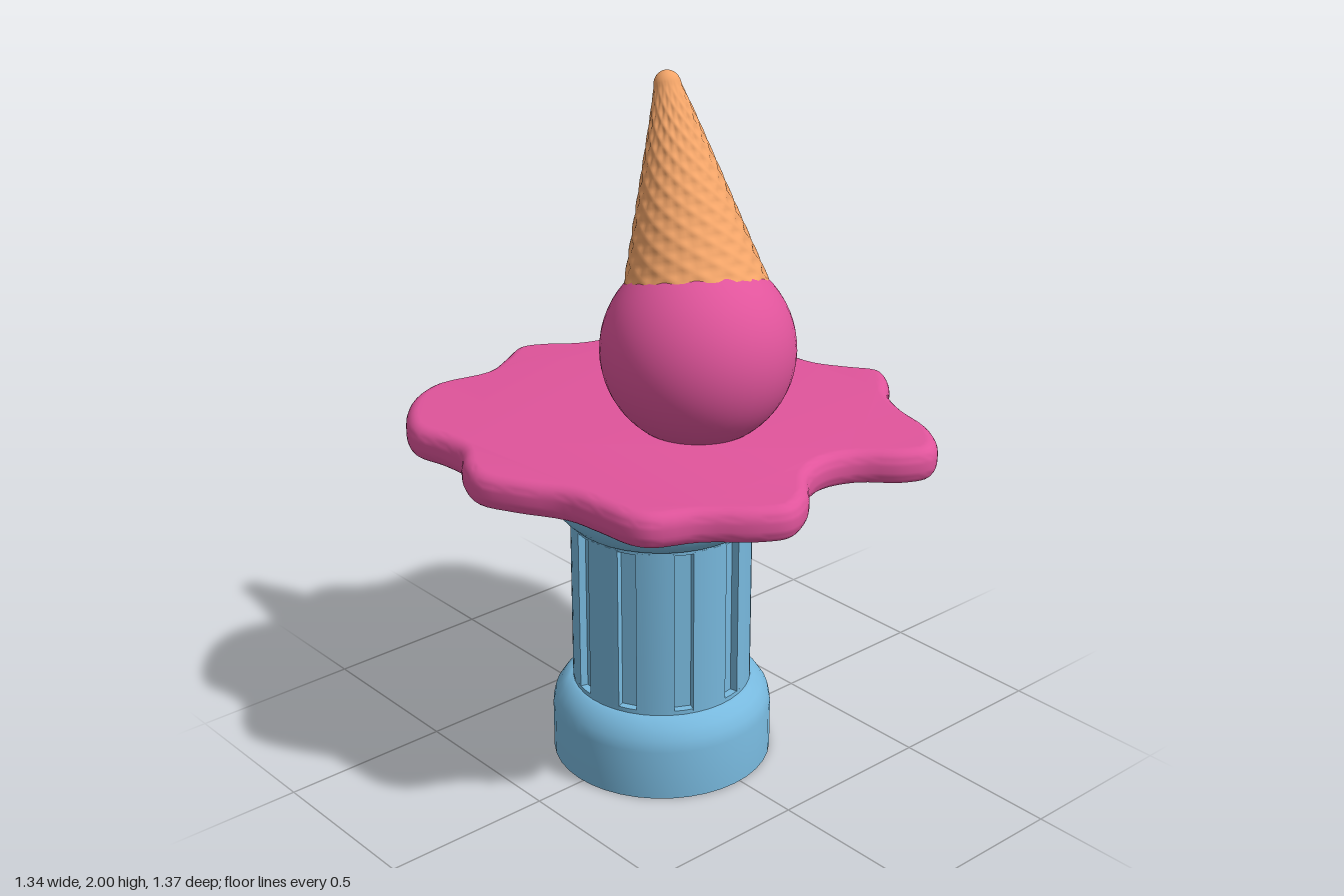
import * as THREE from 'three';
import { toCreasedNormals } from 'three/addons/utils/BufferGeometryUtils.js';

const blue = new THREE.MeshStandardMaterial({ color: 0x78b9de });
const pink = new THREE.MeshStandardMaterial({ color: 0xe0549b });
const wafer = new THREE.MeshStandardMaterial({ color: 0xf2a468 });

function add(parent, name, geometry, material) {
  const mesh = new THREE.Mesh(geometry, material);
  mesh.name = name;
  parent.add(mesh);
  return mesh;
}

const vec2 = (pairs) => pairs.map(([x, y]) => new THREE.Vector2(x, y));

// Column: rounded base, mirrored capital and a shaft with ten sunken flutes
function createColumn() {
  const column = new THREE.Group();
  column.name = 'column';
  column.position.set(-0.02, 0, -0.02);

  const profile = vec2([[0, 0], [0.32, 0], [0.32, 0.15], [0.313, 0.183], [0.295, 0.21],
    [0.27, 0.235], [0.26, 0.237], [0.26, 0.25], [0, 0.25]]);
  const drum = toCreasedNormals(new THREE.LatheGeometry(profile, 40), 0.7);
  add(column, 'columnBase', drum, blue);
  const capital = add(column, 'columnCapital', drum, blue);
  capital.rotation.x = Math.PI;
  capital.position.y = 0.99;

  const outline = [];
  const flutes = 10, outer = 0.26, inner = 0.238, half = 0.105;
  const polar = (r, a) => new THREE.Vector2(r * Math.cos(a), r * Math.sin(a));
  for (let i = 0; i < flutes; i++) {
    const a = ((9 + 36 * i) * Math.PI) / 180;
    outline.push(polar(outer, a - half), polar(inner, a - half), polar(inner, a + half));
    const span = (2 * Math.PI) / flutes - 2 * half;
    for (let j = 0; j < 5; j++) outline.push(polar(outer, a + half + (span * j) / 5));
  }
  const shaft = new THREE.ExtrudeGeometry(new THREE.Shape(outline), { depth: 0.5, bevelEnabled: false });
  shaft.rotateX(Math.PI / 2).translate(0, 0.745, 0);
  add(column, 'flutedShaft', toCreasedNormals(shaft, 0.5), blue);
  return column;
}

// Melted puddle: wavy outline (x, z) with a rounded rim
function createPuddle() {
  const outline = [
    [-0.01, -0.685], [0.075, -0.65], [0.14, -0.6], [0.22, -0.573], [0.365, -0.577], [0.45, -0.54],
    [0.5, -0.47], [0.525, -0.39], [0.57, -0.27], [0.585, -0.19], [0.565, -0.09], [0.575, 0],
    [0.62, 0.08], [0.67, 0.165], [0.633, 0.235], [0.555, 0.31], [0.5, 0.417], [0.463, 0.545],
    [0.4, 0.635], [0.34, 0.665], [0.263, 0.635], [0.175, 0.555], [0.085, 0.527], [-0.005, 0.555],
    [-0.1, 0.643], [-0.19, 0.68], [-0.27, 0.643], [-0.38, 0.548], [-0.495, 0.49], [-0.53, 0.435],
    [-0.543, 0.327], [-0.56, 0.218], [-0.627, 0.1], [-0.673, -0.01], [-0.648, -0.098],
    [-0.597, -0.18], [-0.597, -0.272], [-0.615, -0.374], [-0.57, -0.47], [-0.477, -0.566],
    [-0.365, -0.61], [-0.205, -0.588], [-0.107, -0.635],
  ].map(([x, z]) => new THREE.Vector3(x, z, 0));
  const points = new THREE.CatmullRomCurve3(outline, true).getPoints(172).slice(0, -1);
  const shape = new THREE.Shape(points.map((p) => new THREE.Vector2(p.x, p.y)));
  const geometry = new THREE.ExtrudeGeometry(shape, {
    depth: 0.02, bevelThickness: 0.04, bevelSize: 0.035, bevelOffset: -0.035, bevelSegments: 6,
  });
  geometry.rotateX(Math.PI / 2).translate(0, 1.03, 0);
  return toCreasedNormals(geometry, 0.8);
}

// Wafer cone: lathe with a crossed ridge pattern and a rolled seam at the back
function createCone() {
  const rows = 80, sides = 120, length = 0.567, start = -0.04, tip = 0.525;
  const profile = [];
  for (let i = 0; i <= rows; i++) {
    const s = start + ((tip - start) * i) / rows;
    profile.push(new THREE.Vector2(0.195 - (0.157 * s) / tip, s));
  }
  for (let i = 1; i <= 8; i++) {
    const a = (i * Math.PI) / 16;
    profile.push(new THREE.Vector2(0.038 * Math.cos(a), tip + (length - tip) * Math.sin(a)));
  }
  const geometry = new THREE.LatheGeometry(profile, sides, Math.PI);
  const pos = geometry.attributes.position;
  const uv = geometry.attributes.uv;
  for (let i = 0; i < pos.count; i++) {
    const x = pos.getX(i), y = pos.getY(i), z = pos.getZ(i);
    const r = Math.hypot(x, z);
    if (r < 1e-5) continue;
    const u = uv.getX(i), a = u * Math.PI * 2;
    const fade = THREE.MathUtils.clamp((0.54 - y) / 0.1, 0, 1);
    const ridges = Math.max(Math.cos(14 * a + 110 * y), Math.cos(14 * a - 110 * y));
    const roll = u < 0.97 ? u / 0.97 : (1 - u) / 0.03;
    const k = 1 + (fade * (0.003 * (ridges - 0.4) + 0.012 * (roll - 0.5))) / r;
    pos.setXYZ(i, x * k, y, z * k);
  }
  geometry.computeVertexNormals();
  return geometry;
}

export function createModel() {
  const model = new THREE.Group();
  model.name = 'droppedIceCreamOnColumn';
  model.add(createColumn());
  add(model, 'meltedPuddle', createPuddle(), pink);

  const scoop = add(model, 'scoop', new THREE.SphereGeometry(0.268, 48, 32), pink);
  scoop.position.set(-0.005, 1.285, 0.115);

  const cone = add(model, 'waferCone', createCone(), wafer);
  cone.position.set(0.02, 1.46, 0.065);
  const axis = new THREE.Vector3(0.05, 0.52, -0.165).normalize();
  cone.quaternion.setFromUnitVectors(new THREE.Vector3(0, 1, 0), axis);
  return model;
}
